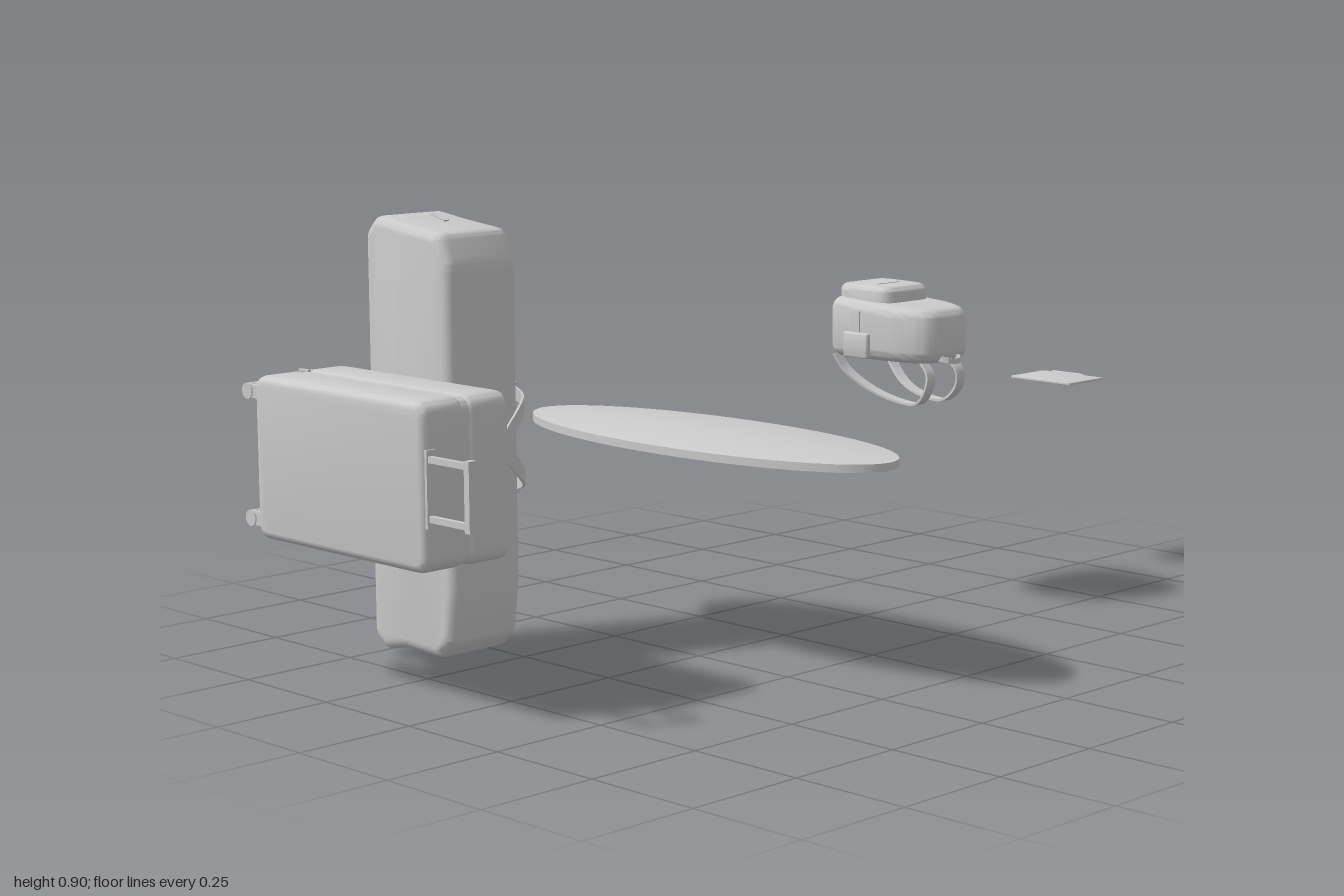
import * as THREE from 'three';
import { toCreasedNormals } from 'three/addons/utils/BufferGeometryUtils.js';

const grey = new THREE.MeshStandardMaterial({ color: 0xcccccc });
grey.name = 'light grey';

function add(parent, name, geometry, x = 0, y = 0, z = 0) {
  const mesh = new THREE.Mesh(geometry, grey);
  mesh.name = name;
  mesh.position.set(x, y, z);
  parent.add(mesh);
  return mesh;
}

function group(parent, name, x = 0, y = 0, z = 0) {
  const g = new THREE.Group();
  g.name = name;
  g.position.set(x, y, z);
  parent.add(g);
  return g;
}

const box = (w, h, d) => new THREE.BoxGeometry(w, h, d);

// Closed polygon with softened corners
function softShape(points, r) {
  const shape = new THREE.Shape();
  const v = points.map(p => new THREE.Vector2(...p));
  v.forEach((p, i) => {
    const towards = q => {
      const d = q.clone().sub(p);
      return p.clone().add(d.setLength(Math.min(r, d.length() * 0.45)));
    };
    const a = towards(v[(i + v.length - 1) % v.length]);
    const b = towards(v[(i + 1) % v.length]);
    if (i) shape.lineTo(a.x, a.y); else shape.moveTo(a.x, a.y);
    shape.quadraticCurveTo(p.x, p.y, b.x, b.y);
  });
  shape.closePath();
  return shape;
}

// Bevelled slab, centred on its thickness
function slab(points, r, depth, bevel, segments = 4) {
  const g = new THREE.ExtrudeGeometry(softShape(points, r), {
    depth: depth - 2 * bevel, bevelEnabled: bevel > 0, bevelThickness: bevel,
    bevelSize: bevel, bevelOffset: -bevel, bevelSegments: segments, curveSegments: 6,
  });
  return g.translate(0, 0, bevel - depth / 2);
}
// Side profile given as [z, y], thickness along x
const sideSlab = (pts, r, w, bevel, seg) =>
  toCreasedNormals(slab(pts.map(([z, y]) => [-z, y]), r, w, bevel, seg).rotateY(Math.PI / 2), 0.6);
// Plan outline given as [x, z], thickness along y; the top slopes with z
function planSlab(pts, r, h, bevel, slope) {
  const g = slab(pts.map(([x, z]) => [x, -z]), r, h, bevel, 6).rotateX(-Math.PI / 2).translate(0, h / 2, 0);
  const p = g.attributes.position;
  for (let i = 0; i < p.count; i++) p.setY(i, p.getY(i) * (1 - slope * p.getZ(i)));
  return toCreasedNormals(g, 0.6);
}

// Flat strap swept along a curve, its broad side facing the given normals
function strap(points, normals, width, thick, n = 28) {
  const vec = list => new THREE.CatmullRomCurve3(list.map(p => new THREE.Vector3(...p)));
  const path = vec(points), facing = vec(normals);
  const pos = [], index = [];
  for (let i = 0; i <= n; i++) {
    const p = path.getPoint(i / n), t = path.getTangent(i / n);
    const f = facing.getPoint(i / n);
    f.addScaledVector(t, -f.dot(t)).normalize();
    const s = t.clone().cross(f);
    for (const [a, b] of [[1, 1], [-1, 1], [-1, -1], [1, -1]]) {
      const q = p.clone().addScaledVector(s, a * width / 2).addScaledVector(f, b * thick / 2);
      pos.push(q.x, q.y, q.z);
    }
    if (i < n) for (let k = 0; k < 4; k++) {
      const a = i * 4 + k, b = i * 4 + (k + 1) % 4;
      index.push(a, a + 4, b, b, a + 4, b + 4);
    }
  }
  const e = n * 4;
  index.push(0, 1, 2, 0, 2, 3, e, e + 2, e + 1, e, e + 3, e + 2);
  const g = new THREE.BufferGeometry();
  g.setAttribute('position', new THREE.Float32BufferAttribute(pos, 3));
  g.setIndex(index);
  return toCreasedNormals(g, 0.6);
}

function buildSuitcase(root) {
  const s = group(root, 'suitcase', -0.895, 0.45, -0.2);
  const outline = k => [[0.255, 0.16], [0.255, -0.16], [-0.255, -0.16], [-0.255, 0.16]]
    .map(([z, y]) => [z + Math.sign(z) * k, y + Math.sign(y) * k]);
  // Two shells with a seam between
  for (const side of [-1, 1])
    add(s, 'shell', sideSlab(outline(0), 0.032, 0.103, 0.016, 3), side * 0.0535);
  add(s, 'seam', sideSlab(outline(-0.003), 0.03, 0.05, 0));
  // Telescopic handle
  for (const y of [-0.055, 0.055]) add(s, 'handleRod', box(0.01, 0.012, 0.13), -0.09, y, 0.3);
  add(s, 'handleGrip', box(0.018, 0.132, 0.014), -0.09, 0, 0.37);
  add(s, 'handleBase', box(0.022, 0.145, 0.006), -0.088, 0, 0.256);
  // Wheel-end panel and four wheels
  add(s, 'basePanel', box(0.1, 0.18, 0.006), 0, 0, -0.256);
  for (const x of [-0.085, 0.085]) for (const y of [-0.125, 0.125]) {
    add(s, 'wheelMount', box(0.024, 0.026, 0.02), x, y, -0.263);
    for (const dx of [-0.009, 0.009]) {
      const wheel = new THREE.CylinderGeometry(0.016, 0.016, 0.011, 16).rotateZ(Math.PI / 2);
      add(s, 'wheel', wheel, x + dx, y, -0.283);
    }
  }
  // Grab handle on the upper side
  add(s, 'zipPull', box(0.008, 0.004, 0.03), 0, 0.16, -0.23);
}

function buildBoardBag(root) {
  const b = group(root, 'boardBag', -0.6, 0, 0);
  add(b, 'bagBody', sideSlab([
    [-0.241, 0.81], [-0.268, 0.872], [-0.39, 0.885], [-0.468, 0.896], [-0.5, 0.86],
    [-0.5, 0.04], [-0.465, 0.01], [-0.4, 0.024], [-0.29, 0.02], [-0.255, 0.055], [-0.241, 0.16],
  ], 0.014, 0.182, 0.022));
  for (const s of [-1, 1]) {
    for (const y of [0.355, 0.545]) {
      add(b, 'sideStrap', box(0.005, 0.028, 0.215), s * 0.092, y, -0.378);
      add(b, 'buckle', box(0.016, 0.036, 0.014), s * 0.094, y, -0.266);
    }
    // Shoulder strap bowing towards the middle
    const half = [[0.093, 0.545, -0.268], [0.086, 0.53, -0.228], [0.06, 0.505, -0.21], [0.032, 0.475, -0.204]];
    const path = [...half, [0.022, 0.45, -0.203], ...half.map(([x, y, z]) => [x, 0.9 - y, z]).reverse()];
    const out = [[1, 0, 0.1], [0.8, 0, 0.6], [0.3, 0, 1], [0, 0, 1]];
    const normals = [...out, [0, 0, 1], ...[...out].reverse()];
    const mirror = ([x, y, z]) => [s * x, y, z];
    add(b, 'shoulderStrap', strap(path.map(mirror), normals.map(mirror), 0.026, 0.005));
  }
  // Zip pulls at both ends
  add(b, 'topPull', box(0.012, 0.003, 0.045), 0, 0.892, -0.372).rotation.x = 0.25;
  add(b, 'bottomPull', box(0.012, 0.003, 0.026), 0, 0.011, -0.378).rotation.x = -0.95;
}

function buildBoard(root) {
  // Thin lens with a blunt rim, stretched to an oval
  const profile = [], steps = 10;
  for (let i = 0; i <= steps; i++) {
    const r = i / steps;
    profile.push(new THREE.Vector2(r, -0.008 - 0.016 * (1 - r * r)));
  }
  for (const p of [...profile].reverse()) profile.push(new THREE.Vector2(p.x, -p.y));
  const g = new THREE.LatheGeometry(profile, 64).scale(0.176, 1, 0.491);
  const b = group(root, 'surfboard', -0.23, 0.449, 0.008);
  add(b, 'board', toCreasedNormals(g.toNonIndexed(), 0.6));
  for (const x of [-0.05, 0, 0.05])
    add(b, 'finBox', box(0.006, 0.004, 0.04), x, -0.0135, x ? -0.36 : -0.4);
}

function buildBackpack(root) {
  const b = group(root, 'backpack', 0.4, 0.545, 0);
  add(b, 'packBody', planSlab([
    [-0.096, -0.163], [0.096, -0.163], [0.1, -0.06], [0.092, 0.05], [0.062, 0.108],
    [-0.062, 0.108], [-0.092, 0.05], [-0.1, -0.06],
  ], 0.035, 0.122, 0.026, 0.5));
  add(b, 'frontPocket', planSlab([
    [-0.074, -0.155], [0.074, -0.155], [0.078, -0.07], [0.07, -0.01], [-0.07, -0.01], [-0.078, -0.07],
  ], 0.03, 0.09, 0.016, 0.2), 0, 0.066, 0);
  add(b, 'pocketZip', box(0.07, 0.003, 0.005), 0, 0.157, -0.07);
  for (const s of [-1, 1]) {
    add(b, 'sidePocket', planSlab([
      [-0.008, -0.105], [0.008, -0.105], [0.008, -0.035], [-0.008, -0.035],
    ], 0.006, 0.055, 0.004, 0), s * 0.1, 0.004, 0);
    add(b, 'compressionStrap', box(0.004, 0.08, 0.005), s * 0.1, 0.065, -0.065);
    // Shoulder strap looping below the back panel
    const path = [[0.045, 0.004, 0.07], [0.048, -0.025, 0.094], [0.05, -0.06, 0.088], [0.045, -0.088, 0.06],
      [0.045, -0.09, 0.02], [0.055, -0.07, -0.06], [0.075, -0.03, -0.12], [0.085, 0.008, -0.145]];
    const normals = [[0, 0, 1], [0, 0, 1], [0, -0.4, 1], [0, -1, 0.6], [0, -1, 0], [0, -1, -0.4], [0, -1, -1], [0, -1, -1]];
    add(b, 'shoulderStrap', strap(path.map(([x, y, z]) => [s * x, y, z]), normals, 0.026, 0.005));
  }
  // Carry loop at the top end
  add(b, 'carryLoop', strap(
    [[-0.028, 0.012, 0.095], [-0.02, 0.008, 0.117], [0, 0.005, 0.124], [0.02, 0.008, 0.117], [0.028, 0.012, 0.095]],
    [[-1, 0, 0], [-0.6, 0, 1], [0, 0, 1], [0.6, 0, 1], [1, 0, 0]], 0.012, 0.004));
}

function buildTablet(root) {
  const t = group(root, 'tabletSet', 0, 0.447, 0);
  add(t, 'tablet', planSlab([[-0.062, -0.086], [0.062, -0.086], [0.062, 0.086], [-0.062, 0.086]],
    0.006, 0.005, 0.001, 0), 0.911, -0.0025, -0.008);
  const pen = new THREE.CylinderGeometry(0.003, 0.003, 0.082, 12).rotateX(Math.PI / 2);
  add(t, 'stylus', pen, 0.996, -0.002, 0.046 - 0.091);
  const tip = new THREE.ConeGeometry(0.003, 0.01, 12).rotateX(Math.PI / 2);
  add(t, 'stylusTip', tip, 0.996, -0.002, 0.001);
}

export function createModel() {
  const root = new THREE.Group();
  root.name = 'travelGear';
  buildSuitcase(root);
  buildBoardBag(root);
  buildBoard(root);
  buildBackpack(root);
  buildTablet(root);
  return root;
}
